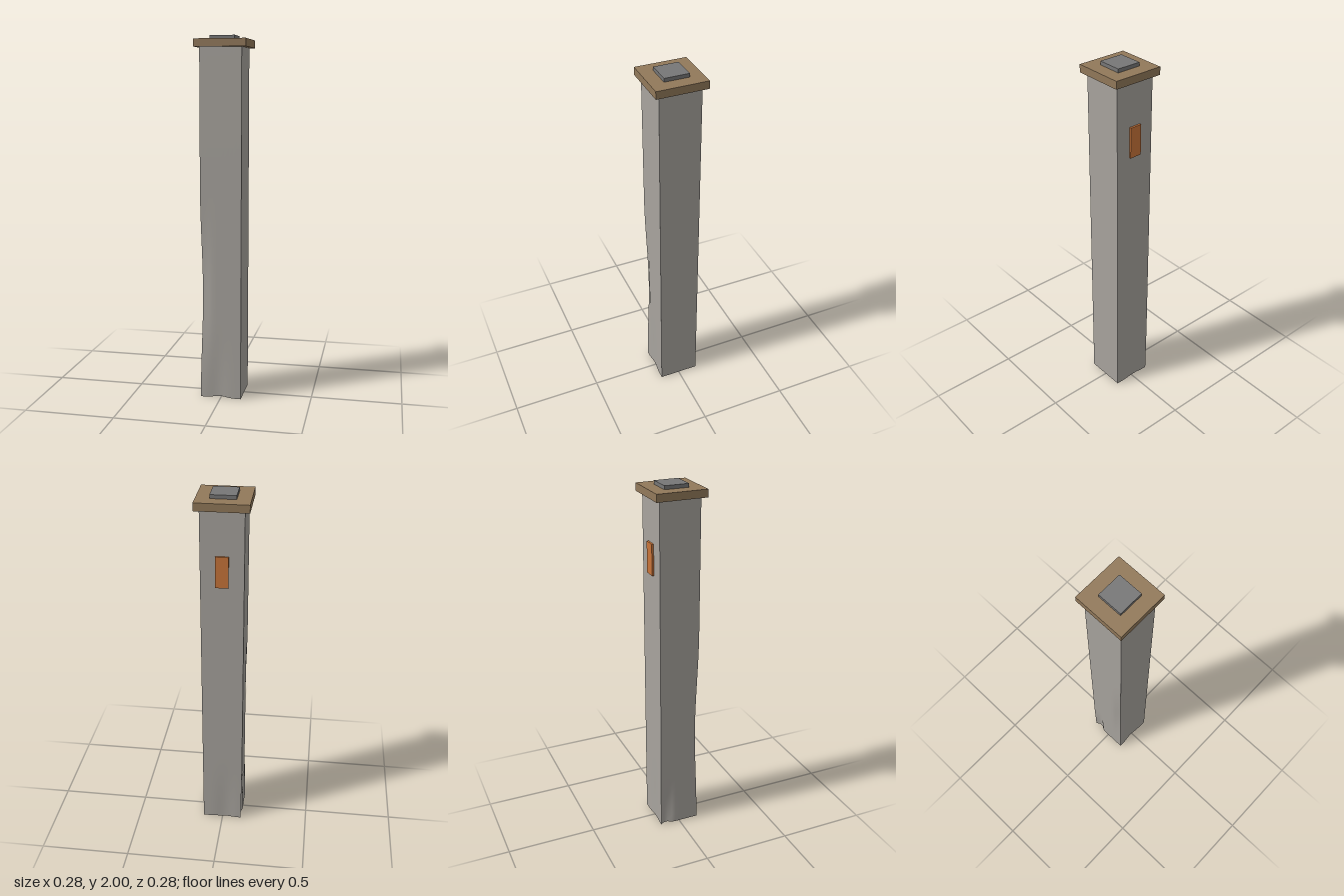
import * as THREE from 'three';

// Smooth falloff: 1 at the centre c, 0 beyond the radius r
const bump = (v, c, r) => {
  const t = Math.min(1, Math.abs(v - c) / r);
  return 1 - t * t * (3 - 2 * t);
};

export function createModel() {
  const group = new THREE.Group();

  const add = (name, geometry, color, x, y, z) => {
    const material = new THREE.MeshStandardMaterial({ color });
    const mesh = new THREE.Mesh(geometry, material);
    mesh.name = name;
    mesh.position.set(x, y, z);
    group.add(mesh);
  };

  // Weathered square post, with sharp edges and gently dented faces
  const half = 0.114, height = 1.94;
  const post = new THREE.BoxGeometry(half * 2, height, half * 2, 10, 40, 10);
  post.translate(0, height / 2, 0);
  const p = post.attributes.position;
  for (let i = 0; i < p.count; i++) {
    let x = p.getX(i), y = p.getY(i), z = p.getZ(i);
    const side = x / half, depth = z / half;
    // worn edge at the front, on the model's right
    const edge = bump(side, -1, 0.6) * bump(depth, 1, 0.6) * bump(y, 0.6, 0.6);
    // chipped foot at the back, on the model's right
    const chip = bump(side, -1, 0.7) * bump(depth, -0.7, 0.4) * bump(y, 0, 0.35);
    // shallow hollows low on the front and back
    const hollow = bump(side, -0.15, 0.7) * bump(y, 0, 0.45);
    x += 0.012 * edge + 0.02 * chip;
    z += -0.012 * edge - 0.006 * hollow * depth;
    // slightly arched bottom edge
    y += 0.008 * bump(side, 0, 0.7) * bump(depth, 1, 0.5) * bump(y, 0, 0.1);
    p.setXYZ(i, x, y, z);
  }
  post.computeVertexNormals();
  add('post', post, 0xa8a49e, 0, 0, 0);

  // Cap board and the small plate on top
  add('cap', new THREE.BoxGeometry(0.28, 0.042, 0.28), 0x92795a, 0, 1.959, 0);
  add('topPlate', new THREE.BoxGeometry(0.135, 0.02, 0.135), 0x777777, 0, 1.99, 0);

  // Marker plate on the back
  add('marker', new THREE.BoxGeometry(0.068, 0.17, 0.014), 0xc9753a, 0, 1.613, -0.118);

  return group;
}
